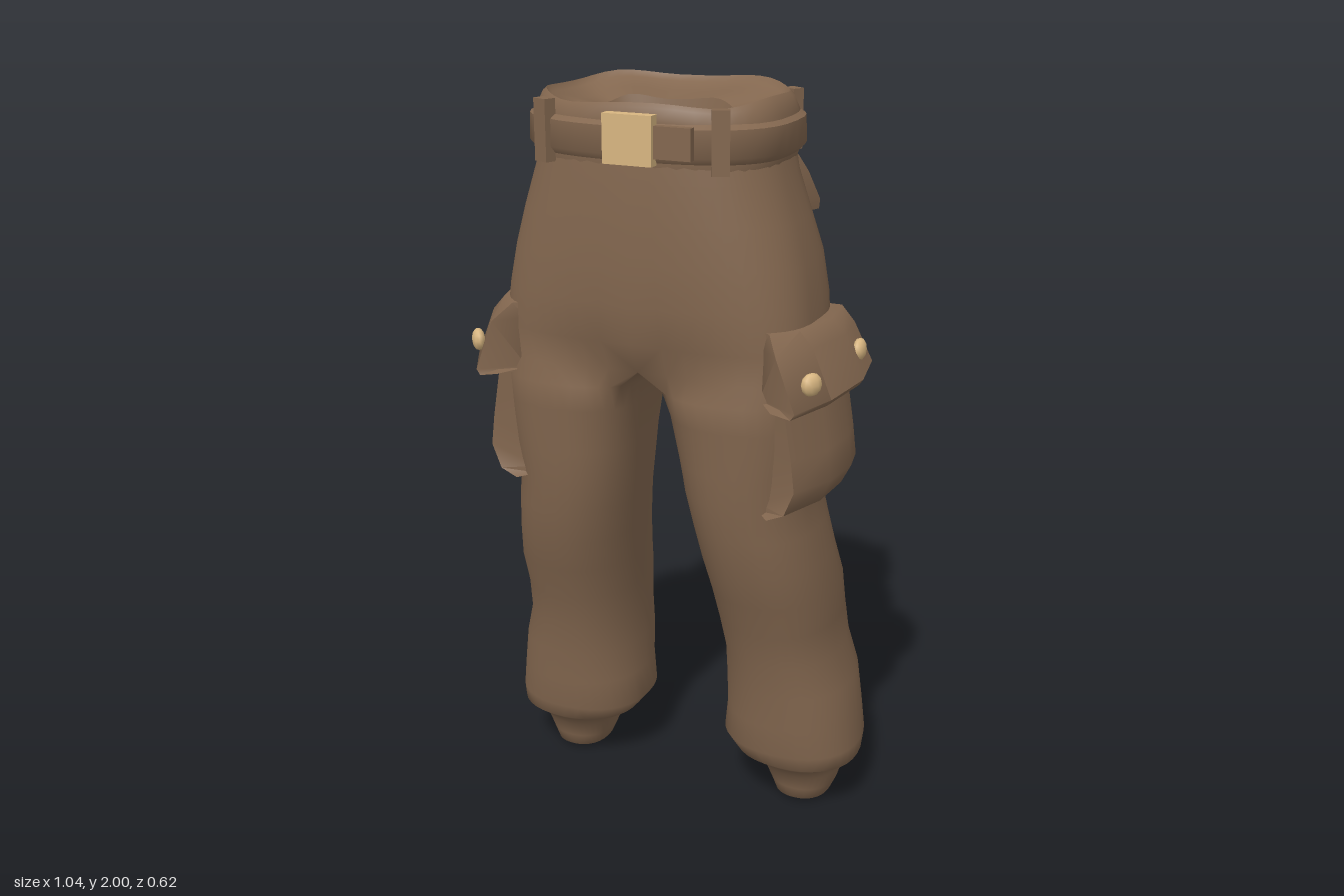
import * as THREE from 'three';
import { mergeVertices, toCreasedNormals } from 'three/addons/utils/BufferGeometryUtils.js';

const fabric = new THREE.MeshStandardMaterial({ name: 'brown fabric', color: 0x83674f, side: THREE.DoubleSide });
const brass = new THREE.MeshStandardMaterial({ name: 'pale brass', color: 0xd8b681 });

const spow = (v, e) => Math.sign(v) * Math.abs(v) ** e;
const { lerp, smoothstep } = THREE.MathUtils;

// Rounded cross-section point; angle 0 is the front, PI/2 the outer side.
// Exponents below 1 make it boxier: ex sideways, ef at the front, eb at the back
function oval(y, x0, x1, zf, zb, t, ex, ef, eb) {
  const c = Math.cos(t);
  return [(x0 + x1) / 2 + (x1 - x0) / 2 * spow(Math.sin(t), ex), y,
    (zf + zb) / 2 + (zf - zb) / 2 * spow(c, c > 0 ? ef : eb)];
}

// Quads between an upper ring and a lower ring
function strip(tris, A, B, count) {
  for (let i = 0; i < count; i++) {
    const j = (i + 1) % A.length, k = (i + 1) % B.length;
    tris.push([A[i], B[i], A[j]], [A[j], B[i], B[k]]);
  }
}

// Fan closing a ring, facing up or down
function cap(tris, R, up) {
  const c = [0, 1, 2].map(a => R.reduce((s, p) => s + p[a], 0) / R.length);
  R.forEach((p, i) => {
    const q = R[(i + 1) % R.length];
    tris.push(up ? [c, p, q] : [c, q, p]);
  });
}

const mirrorTris = tris => tris.map(t => [t[0], t[2], t[1]].map(p => [-p[0], p[1], p[2]]));

function toGeometry(tris, crease) {
  let g = new THREE.BufferGeometry();
  g.setAttribute('position', new THREE.Float32BufferAttribute(tris.flat(2), 3));
  if (crease) return toCreasedNormals(g, crease);
  g = mergeVertices(g, 1e-4);
  g.computeVertexNormals();
  return g;
}

function loft(rings, capTop = true, capBottom = true) {
  const tris = [];
  for (let r = 0; r + 1 < rings.length; r++) strip(tris, rings[r], rings[r + 1], rings[r].length);
  if (capTop) cap(tris, rings[0], true);
  if (capBottom) cap(tris, rings[rings.length - 1], false);
  return tris;
}

function add(parent, name, geometry, material) {
  const m = new THREE.Mesh(geometry, material);
  m.name = name;
  parent.add(m);
  return m;
}

// Hips and both legs as one continuous skin
function trouserTris() {
  const M = 26, K = 10, a = 0.75;
  // y, half width, front z, back z, dent along the middle seam
  const hips = [
    [1.87, 0.31, 0.275, -0.19, 0], [1.8, 0.325, 0.28, -0.19, 0], [1.7, 0.357, 0.283, -0.208, 0],
    [1.6, 0.385, 0.283, -0.238, 0], [1.5, 0.403, 0.282, -0.243, 0.003], [1.4, 0.415, 0.278, -0.218, 0.015],
    [1.32, 0.418, 0.27, -0.203, 0.045]];
  // y, inner x, outer x, front z, back z
  const legs = [
    [1.27, 0.02, 0.417, 0.264, -0.196], [1.2, 0.045, 0.415, 0.257, -0.19], [1.08, 0.065, 0.41, 0.246, -0.185],
    [1, 0.075, 0.4, 0.238, -0.185],
    [0.9, 0.09, 0.42, 0.222, -0.195], [0.8, 0.105, 0.436, 0.2, -0.222], [0.7, 0.12, 0.452, 0.168, -0.255],
    [0.6, 0.13, 0.453, 0.132, -0.282], [0.5, 0.142, 0.46, 0.107, -0.302], [0.4, 0.14, 0.49, 0.09, -0.31],
    [0.3, 0.14, 0.505, 0.08, -0.305], [0.21, 0.13, 0.518, 0.07, -0.297], [0.165, 0.165, 0.515, 0.055, -0.268],
    [0.145, 0.23, 0.465, 0.03, -0.25], [0.1, 0.24, 0.46, -0.015, -0.242], [0.05, 0.26, 0.445, -0.032, -0.235],
    [0.015, 0.275, 0.43, -0.04, -0.226], [0, 0.3, 0.41, -0.07, -0.2]];
  const hipRings = hips.map(([y, w, zf, zb, dent]) => Array.from({ length: M + 1 }, (_, i) => {
    const t = Math.PI * i / M;
    const p = oval(y, -w, w, zf, zb, t, 0.78, lerp(0.55, 0.8, smoothstep(y, 1.45, 1.85)), 0.8);
    if (i === 0 || i === M) p[0] = 0;
    p[2] -= dent * Math.cos(t) ** 9;
    return p;
  }));
  const legRings = legs.map(([y, x0, x1, zf, zb]) => Array.from({ length: M + K }, (_, i) => {
    const t = i <= M ? -a + (Math.PI + 2 * a) * i / M : Math.PI + a + (Math.PI - 2 * a) * (i - M) / K;
    return oval(y, x0, x1, zf, zb, t, 0.88, lerp(0.88, 0.62, smoothstep(y, 0.8, 1.3)), 0.88);
  }));
  // the crotch ring is closed along the middle plane
  const crotch = hipRings[hipRings.length - 1].slice();
  for (let i = 1; i < K; i++) crotch.push([0, 1.32, lerp(crotch[M][2], crotch[0][2], i / K)]);

  const tris = [];
  for (let r = 0; r + 1 < hipRings.length; r++) strip(tris, hipRings[r], hipRings[r + 1], M);
  [crotch, ...legRings].forEach((R, r, all) => { if (r) strip(tris, all[r - 1], R, M + K); });
  cap(tris, legRings[legRings.length - 1], false);
  return [...tris, ...mirrorTris(tris)];
}

// Full oval ring around the waist, a little higher at the back
function waistRing([y, w, zf, zb]) {
  return Array.from({ length: 40 }, (_, i) => {
    const t = i / 40 * Math.PI * 2;
    const p = oval(y, -w, w, zf, zb, t, 0.8, 0.75, 0.75);
    if (y > 1.942) p[1] += 0.006 * Math.sin(5 * t + 1) - 0.008 * Math.cos(t);
    return p;
  });
}

function button(parent, x, y, z, dx, dz) {
  const b = add(parent, 'button', new THREE.SphereGeometry(0.029, 10, 6), brass);
  b.position.set(x, y, z);
  b.rotation.y = Math.atan2(dx, dz);
  b.scale.z = 0.6;
}

export function createModel() {
  const model = new THREE.Group();
  model.name = 'cargoTrousers';
  add(model, 'trouserLegs', toGeometry(trouserTris()), fabric);

  // Waistband with a shallow lining around the inner opening
  const band = [
    [1.66, 0.05, 0.085, 0.01], [1.85, 0.13, 0.125, -0.02], [1.945, 0.17, 0.145, -0.04], [1.955, 0.22, 0.195, -0.1],
    [1.97, 0.28, 0.253, -0.178], [1.985, 0.291, 0.264, -0.19], [1.975, 0.302, 0.272, -0.196],
    [1.945, 0.317, 0.277, -0.198], [1.86, 0.322, 0.28, -0.2], [1.83, 0.315, 0.276, -0.188]];
  add(model, 'waistband', toGeometry(loft(band.map(waistRing), true, false), 0.8), fabric);

  // Belt, loops and buckle
  const belt = [[1.94, 0.316, 0.276, -0.197], [1.93, 0.333, 0.29, -0.208], [1.865, 0.336, 0.29, -0.208],
    [1.845, 0.316, 0.275, -0.188]];
  add(model, 'belt', toGeometry(loft(belt.map(waistRing), false, false), 0.9), fabric);
  for (const s of [1, -1]) {
    for (const t of [0.66, 2.35]) {
      const p = oval(1.903, -0.333, 0.333, 0.29, -0.208, t, 0.8, 0.75, 0.75);
      const loop = add(model, 'beltLoop', new THREE.BoxGeometry(0.042, 0.148, 0.032), fabric);
      loop.position.set(s * p[0], p[1], p[2]);
      loop.rotation.y = s * (t < 1 ? 0.4 : 2.6);
    }
  }
  add(model, 'beltTip', new THREE.BoxGeometry(0.1, 0.075, 0.02), fabric).position.set(0.12, 1.9, 0.285);
  add(model, 'buckle', new THREE.BoxGeometry(0.125, 0.116, 0.03), brass).position.set(0.015, 1.903, 0.291);

  // Cargo pockets on the outer thighs: y, outer x
  const cargoBody = [[1.34, 0.45], [1.27, 0.46], [1.15, 0.48], [1.07, 0.49], [1.02, 0.465], [1, 0.42]]
    .map(([y, x]) => [[0.31, 0.19], [x - 0.07, 0.235], [x - 0.015, 0.12], [x, 0], [x - 0.015, -0.085], [0.32, -0.085]]
      .map(([px, z]) => [px, y - (y < 1.05 ? z * 0.06 : 0), z]));
  const cargoFlap = [[1.46, 0.435], [1.42, 0.47], [1.315, 0.52], [1.3, 0.51], [1.31, 0.46]]
    .map(([y, x]) => [[0.32, 0.215], [x - 0.09, 0.278 - (y > 1.44 ? 0.05 : 0)], [x - 0.035, 0.17], [x, 0.03],
      [x - 0.015, -0.09], [0.34, -0.09]]
      .map(([px, z]) => [px, y - (y < 1.4 ? z * 0.1 : 0), z]));

  // Rear pockets in their own frame, facing local +z: y, half width, depth
  const rearRing = ([y, h, d]) => [[-h, -0.08], [-h, d - 0.015], [-h * 0.6, d], [h * 0.6, d], [h, d - 0.015], [h, -0.08]]
    .map(([x, z]) => [x, y, z]);
  const rearBody = [[1.72, 0.1, 0.015], [1.65, 0.1, 0.045], [1.57, 0.105, 0.074], [1.53, 0.1, 0.068], [1.485, 0.085, 0.01]]
    .map(rearRing);
  const rearFlap = [[1.825, 0.105, -0.03], [1.78, 0.112, 0.002], [1.705, 0.115, 0.045], [1.68, 0.112, 0.045], [1.68, 0.1, 0.01]]
    .map(rearRing);

  for (const s of [1, -1]) {
    const side = t => (s > 0 ? t : mirrorTris(t));
    const cargo = new THREE.Group();
    cargo.name = s > 0 ? 'leftCargoPocket' : 'rightCargoPocket';
    add(cargo, 'pocketBody', toGeometry(side(loft(cargoBody)), 0.9), fabric);
    add(cargo, 'pocketFlap', toGeometry(side(loft(cargoFlap)), 0.9), fabric);
    button(cargo, s * 0.452, 1.35, 0.225, s * 0.8, 0.6);
    button(cargo, s * 0.49, 1.37, -0.025, s, 0);
    model.add(cargo);

    const rear = new THREE.Group();
    rear.name = s > 0 ? 'leftRearPocket' : 'rightRearPocket';
    add(rear, 'pocketBody', toGeometry(loft(rearBody), 0.9), fabric);
    add(rear, 'pocketFlap', toGeometry(loft(rearFlap), 0.9), fabric);
    button(rear, 0, 1.735, 0.032, 0, 1);
    rear.position.set(s * 0.21, 0, -0.182);
    rear.rotation.y = s * (Math.PI - 0.4);
    model.add(rear);
  }
  return model;
}
